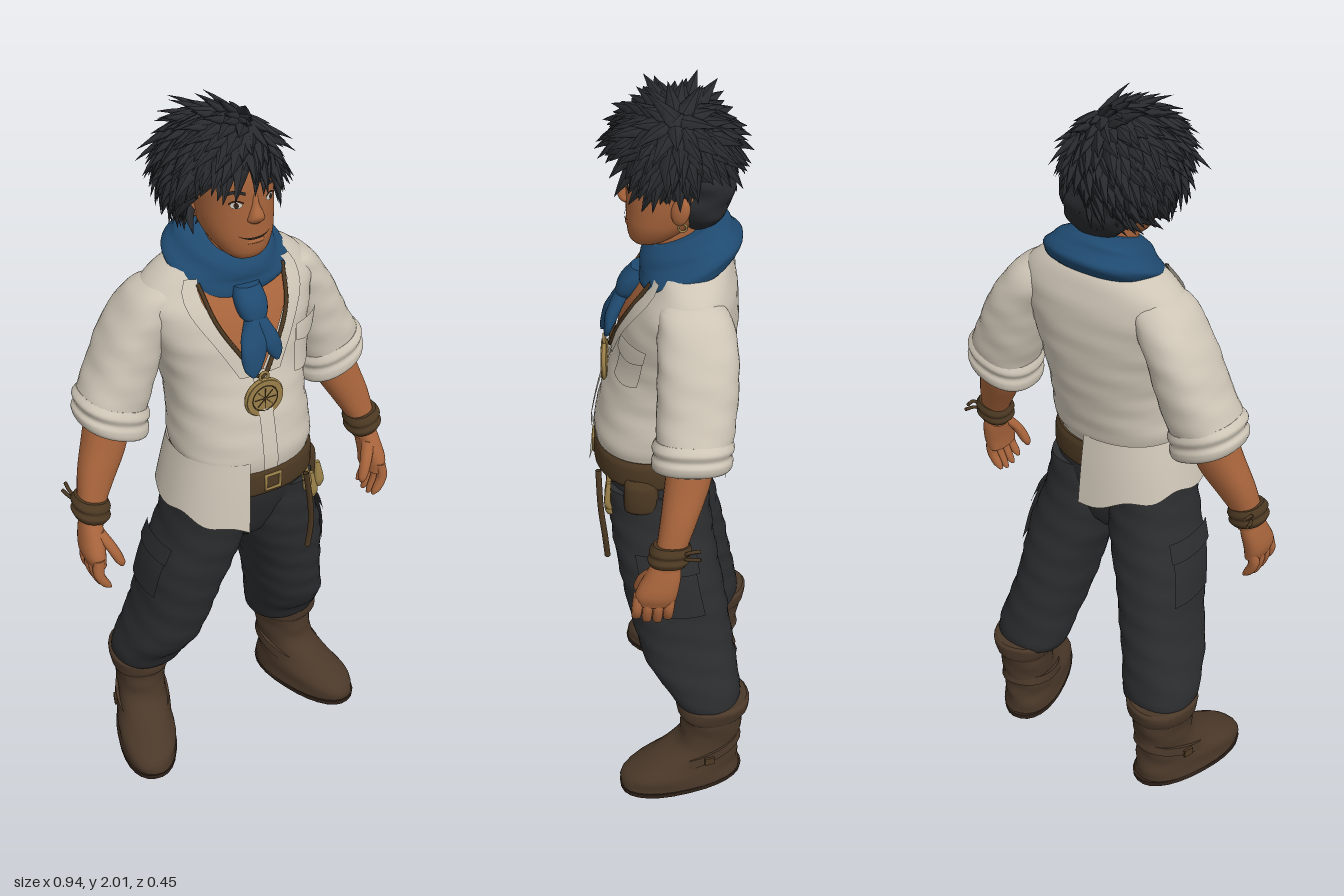
import * as THREE from 'three';
import { mergeGeometries } from 'three/addons/utils/BufferGeometryUtils.js';

const mat = (name, color) =>
  Object.assign(new THREE.MeshStandardMaterial({ color, side: THREE.DoubleSide }), { name });
const M = {
  hair: mat('hair black', 0x282a2d), skin: mat('tan skin', 0xa9653c), shirt: mat('linen', 0xcec5b6),
  pants: mat('charcoal cloth', 0x2c2d2f), boot: mat('boot leather', 0x4a3829), scarf: mat('blue cloth', 0x1f4a70),
  belt: mat('belt leather', 0x4b3822), brass: mat('brass', 0x9a8049), white: mat('eye white', 0xd9d2c6),
  dark: mat('dark brown', 0x32241b),
};

// Rings are [x, y, z, radiusX, radiusZ, tiltX, tiltZ], in rising y; values between them are splined.
const at = (R, y) => {
  let i = 0;
  while (i < R.length - 2 && y > R[i + 1][1]) i++;
  const h = R[i + 1][1] - R[i][1], u = (y - R[i][1]) / h;
  const slope = (k, c) => {
    const p = R[Math.max(k - 1, 0)], q = R[Math.min(k + 1, R.length - 1)];
    return ((q[c] ?? 0) - (p[c] ?? 0)) / (q[1] - p[1]);
  };
  return [0, 2, 3, 4, 5, 6].map(c => {
    const p = R[i][c] ?? 0, q = R[i + 1][c] ?? 0, a = u * u, b = a * u;
    return (2 * b - 3 * a + 1) * p + (b - 2 * a + u) * h * slope(i, c) + (3 * a - 2 * b) * q + (b - a) * h * slope(i + 1, c);
  });
};
// Point at height y and angle a (0 = front, +90 degrees = +x)
const point = (R, y, a, off = 0, amp = 0) => {
  const [x, z, rx, rz, kx, kz] = at(R, y), s = Math.sin(a), c = Math.cos(a);
  const w = 1 + amp * (Math.sin(3 * a + y * 75) + 0.6 * Math.sin(2 * a - y * 120));
  const dx = rx * w * Math.sign(s) * Math.abs(s) ** 0.88 + off * s;
  const dz = rz * w * Math.sign(c) * Math.abs(c) ** 0.88 + off * c;
  return [x + dx, y + kx * dx + kz * dz, z + dz];
};
const grid = (rows, closed) => {
  const n = rows[0].length, idx = [], m = closed ? n : n - 1;
  for (let i = 0; i < rows.length - 1; i++) for (let j = 0; j < m; j++) {
    const a = i * n + j, b = i * n + (j + 1) % n;
    idx.push(a, b, a + n, b, b + n, a + n);
  }
  const g = new THREE.BufferGeometry();
  g.setAttribute('position', new THREE.Float32BufferAttribute(rows.flat(2), 3));
  g.setIndex(idx);
  g.computeVertexNormals();
  return g;
};
// Capped solid through rings
const loft = (rings, amp = 0, nu = 28) => {
  const R = [...rings].sort((a, b) => a[1] - b[1]), nv = R.length * 4;
  const y0 = R[0][1], y1 = R[R.length - 1][1];
  const rows = Array.from({ length: nv + 1 }, (_, i) => Array.from({ length: nu }, (_, j) =>
    point(R, y0 + (y1 - y0) * i / nv, j / nu * Math.PI * 2, 0, amp)));
  const mid = k => Array.from({ length: nu }, () => [R[k][0], R[k][1], R[k][2]]);
  return grid([mid(0), rows[0], ...rows, rows[nv], mid(R.length - 1)], true);
};
// Thin piece lying on the surface through rings; f maps (u, v) to [angle, height]
const patch = (R, f, off, nu = 14, nv = 10) => grid(Array.from({ length: nv + 1 }, (_, i) =>
  Array.from({ length: nu + 1 }, (_, j) => { const [a, y] = f(j / nu, i / nv); return point(R, y, a, off); })), false);
const disc = (R, a, y, ra, ry, off) => patch(R, (u, v) =>
  [a + ra * v * Math.cos(u * Math.PI * 2), y - ry * v * Math.sin(u * Math.PI * 2)], off, 16, 3);
const tube = (pts, r) => new THREE.TubeGeometry(
  new THREE.CatmullRomCurve3(pts.map(p => new THREE.Vector3(...p))), 24, r, 6);

const torso = [[0, 1.0, .035, .175, .145], [0, 1.05, .04, .18, .157], [0, 1.08, .035, .19, .164], [0, 1.2, .01, .184, .163],
  [0, 1.3, -.015, .195, .155], [0, 1.4, -.03, .222, .148], [0, 1.48, -.045, .242, .13], [0, 1.53, -.055, .222, .108],
  [0, 1.57, -.055, .172, .09], [0, 1.6, -.05, .1, .065]];
const head = [[.005, 1.605, .055, .02, .018], [.005, 1.62, .05, .05, .045], [.003, 1.66, .026, .08, .078], [0, 1.7, .008, .093, .097],
  [-.003, 1.76, -.008, .1, .113], [-.012, 1.84, -.02, .101, .122], [-.022, 1.9, -.02, .08, .1], [-.025, 1.94, -.02, .02, .03]];
const sleeve = [[.325, 1.16, -.06, .078, .085, .35], [.325, 1.2, -.065, .086, .094, .35], [.285, 1.3, -.073, .083, .1, .25],
  [.247, 1.4, -.075, .08, .1, .1], [.207, 1.47, -.07, .08, .095], [.18, 1.52, -.06, .065, .075], [.16, 1.545, -.055, .025, .035]];
const leg = [[.225, .26, -.115, .075, .075], [.225, .28, -.11, .102, .092], [.222, .32, -.1, .108, .102], [.205, .4, -.065, .106, .125],
  [.18, .5, -.04, .105, .133], [.162, .6, -.02, .108, .137], [.138, .7, 0, .118, .137], [.107, .82, .02, .112, .137], [.098, .94, .03, .098, .135]];
const flip = (R, s) => R.map(([x, y, z, rx, rz, kx = 0, kz = 0]) => [s * x, y, z, rx, rz, s * kx, kz]);

export function createModel() {
  const model = new THREE.Group();
  model.name = 'adventurer';
  const add = (name, geo, m, parent = model) => {
    const mesh = new THREE.Mesh(geo, m);
    mesh.name = name;
    parent.add(mesh);
    return mesh;
  };

  // Shirt, open collar, pocket and the loose tail on one side
  add('shirt', loft(torso, .006, 48), M.shirt);
  const wide = v => .02 + .56 * v;
  add('chest', patch(torso, (u, v) => [(u * 2 - 1) * wide(v), 1.31 + .24 * v], .004), M.skin);
  for (const s of [-1, 1])
    add('lapel', patch(torso, (u, v) => [s * (wide(v) + u * .22), 1.31 + .25 * v], .011), M.shirt);
  add('placket', patch(torso, (u, v) => [(u - .5) * .16, 1.05 + .27 * v], .008), M.shirt);
  add('shirtPocket', patch(torso, (u, v) => [.5 + .55 * u, 1.28 + .11 * v - .01 * Math.sin(u * Math.PI)], .01), M.shirt);
  add('pocketFlap', patch(torso, (u, v) => [.47 + .61 * u, 1.365 + .04 * v - .015 * (1 - v) * Math.sin(u * Math.PI)], .017), M.shirt);
  const tail = [[0, .84, .035, .242, .192], [0, .9, .035, .232, .186], [0, 1.0, .035, .21, .175], [0, 1.08, .035, .19, .164]];
  add('shirtTail', patch(tail, (u, v) => {
    const a = -.25 - 2.95 * u, low = .875 + .055 * Math.sin(u * Math.PI) + .008 * Math.sin(u * 25);
    return [a, low + (1.08 - low) * v];
  }, .003, 40, 10), M.shirt);

  // Trousers, belt and things hung from it
  add('trouserSeat', loft([[0, .745, .01, .03, .07], [0, .78, .015, .09, .1], [0, .87, .025, .18, .128], [0, .95, .033, .19, .143], [0, 1.03, .037, .178, .145]], 0, 36), M.pants);
  add('belt', loft([[0, .965, .036, .188, .158], [0, .975, .037, .194, .164], [0, 1.03, .037, .192, .163], [0, 1.045, .037, .183, .157]], 0, 36), M.belt);
  const buckle = add('buckle', new THREE.TorusGeometry(.03, .006, 6, 4), M.brass);
  buckle.position.set(.01, 1.005, .2);
  buckle.rotation.z = Math.PI / 4;
  add('pouch', loft([[.165, .885, .07, .025, .035], [.178, .9, .07, .028, .045], [.178, .975, .07, .028, .045], [.17, .995, .07, .022, .04]]), M.belt);
  for (const [x, y] of [[.14, .9], [.16, .87], [.178, .9]])
    add('charm', loft([[x, y, .155, .008, .008], [x, y + .02, .16, .014, .009], [x - .005, y + .08, .155, .007, .006]], 0, 10), M.brass);
  add('beltCord', tube([[.12, .98, .185], [.14, .87, .18], [.15, .78, .17], [.145, .71, .165]], .008), M.belt);

  for (const s of [-1, 1]) {
    const side = s < 0 ? 'right' : 'left';
    // Leg with cargo pocket
    const L = flip(leg, s);
    add(side + 'TrouserLeg', loft(L, .012, 36), M.pants);
    for (const [n, w, y, h, off] of [['CargoPocket', .95, .6, .17, .009], ['CargoFlap', 1.05, .73, .055, .015]])
      add(side + n, patch(L, (u, v) => [s * 1.65 + (u - .5) * w, y + h * v], off), M.pants);

    // Boot, turned outwards
    const boot = new THREE.Group();
    boot.name = side + 'Boot';
    boot.position.set(s * .245, 0, -.122);
    boot.rotation.y = s * .32;
    model.add(boot);
    add('sole', loft([[0, 0, .09, .084, .179], [0, .016, .09, .086, .181]]), M.dark, boot);
    add('bootUpper', loft([[0, .012, .09, .084, .177], [0, .055, .088, .083, .168], [0, .095, .052, .076, .128], [0, .14, .012, .07, .092],
      [0, .2, -.002, .073, .087], [0, .27, -.004, .08, .094]], .016), M.boot, boot);
    add('bootCuff', loft([[0, .235, -.003, .079, .092], [0, .25, -.003, .085, .1], [0, .285, -.005, .089, .103], [0, .292, -.005, .081, .095]], .01), M.boot, boot);
    add('bootStrap', loft([[0, .1, .035, .081, .122, 0, -.3], [0, .13, .027, .078, .108, 0, -.3]]), M.boot, boot);
    const clip = add('bootBuckle', new THREE.BoxGeometry(.01, .024, .028), M.belt, boot);
    clip.position.set(s * .08, .11, .03);

    // Sleeve, rolled cuff and forearm
    add(side + 'Sleeve', loft(flip(sleeve, s), .01, 32), M.shirt);
    add(side + 'RolledCuff', loft(flip([[.325, 1.135, -.06, .074, .08, .35], [.327, 1.145, -.06, .09, .097, .35], [.327, 1.17, -.062, .096, .102, .35],
      [.324, 1.185, -.063, .09, .097, .35], [.322, 1.205, -.064, .096, .103, .35], [.318, 1.225, -.066, .085, .095, .35]], s)), M.shirt);
    add(side + 'Forearm', loft(flip([[.425, .9, 0, .031, .036, .3], [.418, .95, -.01, .034, .038, .35], [.393, 1.02, -.028, .045, .046, .4],
      [.357, 1.1, -.048, .054, .056, .4], [.335, 1.17, -.06, .055, .06, .4]], s)), M.skin);
    add(side + 'Bracelet', loft(flip([[.424, .915, -.003, .042, .046, .25], [.422, .93, -.005, .05, .054, .25], [.42, .942, -.007, .045, .05, .25],
      [.419, .955, -.009, .05, .054, .25], [.416, .972, -.012, .042, .046, .25]], s)), M.belt);
    for (const d of [0, .02])
      add(side + 'BraceletTie', tube([[s * .44, .945, -.035], [s * .457, .955 + d, -.055], [s * (.465 - d * .5), .96 + d, -.085]], .005), M.belt);

    // Hand with curled fingers and thumb
    add(side + 'Palm', loft(flip([[.434, .795, .03, .024, .05], [.438, .83, .026, .03, .054], [.432, .88, .01, .03, .046], [.425, .92, 0, .028, .034]], s)), M.skin);
    for (let i = 0; i < 4; i++) {
      const z = -.01 + i * .027, y = .74 - .012 * Math.sin(i * 1.1);
      add(side + 'Finger', loft(flip([[.416, y - .012, z + .008, .005, .006], [.426, y, z + .008, .013, .012], [.444, .78, z + .005, .015, .014], [.439, .825, z, .015, .014]], s), 0, 12), M.skin);
    }
    add(side + 'Thumb', loft(flip([[.376, .785, .076, .005, .005], [.38, .8, .074, .013, .013], [.398, .845, .06, .016, .016], [.422, .89, .03, .017, .02]], s), 0, 12), M.skin);

    // Ear, eye and brow
    const ear = add(side + 'Ear', new THREE.SphereGeometry(1, 14, 10), M.skin);
    ear.scale.set(.014, .037, .024);
    ear.position.set(s * .101, 1.735, -.03);
    ear.rotation.set(-.2, s * -.35, 0);
    const a = .06 + s * .43;
    add(side + 'Eye', disc(head, a, 1.772, .15, .009, .003), M.white);
    add(side + 'Iris', disc(head, a, 1.773, .06, .008, .005), M.dark);
    add(side + 'EyelidLine', patch(head, (u, v) => [a + (u - .5) * .36, 1.775 + .008 * Math.sin(u * Math.PI) + .004 * v], .005), M.dark);
    add(side + 'Eyebrow', patch(head, (u, v) => [a + (u - .5) * .46, 1.797 + .008 * Math.sin(u * Math.PI) + .009 * v], .006), M.hair);
  }
  const earring = add('earring', new THREE.TorusGeometry(.01, .003, 6, 14), M.brass);
  earring.position.set(.104, 1.693, -.035);
  earring.rotation.y = Math.PI / 2;

  // Head, nose, smile and neck
  add('head', loft(head, 0, 36), M.skin);
  add('neck', loft([[0, 1.48, -.03, .075, .075], [0, 1.56, -.02, .06, .065], [0, 1.68, -.015, .06, .065]]), M.skin);
  add('nose', loft([[.006, 1.715, .1, .012, .01], [.006, 1.725, .103, .023, .017], [.006, 1.738, .105, .02, .02], [.005, 1.765, .098, .011, .015], [.004, 1.795, .095, .008, .01]], 0, 16), M.skin);
  add('mouth', patch(head, (u, v) => [.05 + (u - .5) * .95, 1.673 + .016 * (2 * u - 1) ** 2 + .006 * v * Math.sin(u * Math.PI)], .003), M.dark);
  add('lowerLip', loft([[.006, 1.656, .092, .022, .008], [.006, 1.664, .096, .03, .011], [.006, 1.672, .096, .026, .008]], 0, 16), M.skin);

  // Neckerchief with knot and two ends
  const k = -.4;
  add('neckerchief', loft([[.004, 1.525, -.045, .1, .09, 0, k], [.004, 1.55, -.05, .148, .12, 0, k], [.004, 1.575, -.052, .16, .13, 0, k],
    [.004, 1.593, -.05, .15, .122, 0, k], [.004, 1.605, -.046, .135, .116, 0, k], [.004, 1.628, -.04, .112, .105, 0, k], [.004, 1.64, -.03, .075, .082, 0, k]], .022, 40), M.scarf);
  add('scarfKnot', loft([[0, 1.445, .112, .02, .02], [0, 1.465, .105, .036, .03], [0, 1.5, .088, .042, .036], [0, 1.535, .065, .035, .03]]), M.scarf);
  add('scarfEndLong', loft([[-.035, 1.325, .172, .006, .006], [-.033, 1.345, .167, .024, .011], [-.022, 1.4, .148, .036, .018], [-.005, 1.47, .112, .018, .018]], .03), M.scarf);
  add('scarfEndShort', loft([[.04, 1.35, .158, .006, .006], [.036, 1.37, .154, .02, .011], [.024, 1.41, .142, .027, .018], [.005, 1.47, .112, .018, .018]], .03), M.scarf);

  // Medallion on a chain
  const chain = [[1.55, -.55], [1.46, -.36], [1.37, -.18], [1.3, 0], [1.37, .18], [1.46, .36], [1.55, .55]];
  add('chain', tube(chain.map(([y, a]) => point(torso, y, a, .012)), .006), M.belt);
  const medal = new THREE.Group();
  medal.name = 'medallion';
  medal.position.set(-.002, 1.252, .167);
  model.add(medal);
  add('medalDisc', new THREE.CylinderGeometry(.052, .052, .016, 32).rotateX(Math.PI / 2), M.brass, medal);
  add('medalRim', new THREE.TorusGeometry(.05, .006, 8, 32), M.brass, medal);
  add('medalInnerRing', new THREE.TorusGeometry(.036, .0015, 6, 28).translate(0, 0, .008), M.belt, medal);
  for (let i = 0; i < 4; i++)
    add('medalRay', new THREE.BoxGeometry(.0025, .06, .003).rotateZ(i * Math.PI / 4).translate(0, 0, .008), M.belt, medal);
  add('medalLoop', new THREE.TorusGeometry(.012, .004, 6, 14).translate(0, .062, 0), M.brass, medal);

  // Hair: tilted cap covered in swept spikes
  const tilt = -.85, open = 2.1, size = new THREE.Vector3(.137, .126, .146), mid = new THREE.Vector3(-.035, 1.836, -.012);
  add('hairCap', new THREE.SphereGeometry(1, 32, 20, 0, Math.PI * 2, 0, open).rotateX(tilt)
    .scale(size.x, size.y, size.z).translate(mid.x, mid.y, mid.z), M.hair);
  add('napeHair', loft([[0, 1.66, -.075, .05, .04], [0, 1.7, -.075, .085, .07], [-.015, 1.78, -.08, .11, .085], [-.02, 1.84, -.06, .11, .08]], .03), M.hair);
  let seed = 7;
  const rnd = () => (seed = (seed * 16807) % 2147483647) / 2147483647;
  const spikes = [], whorl = new THREE.Vector3(.04, 1.97, -.02), count = 320;
  for (let i = 0; i < count; i++) {
    const c = 1 - (i + .5) / count * (1 - Math.cos(open)), t = i * 2.39996, r = Math.sqrt(1 - c * c);
    const n = new THREE.Vector3(r * Math.cos(t), c, r * Math.sin(t)).applyAxisAngle(new THREE.Vector3(1, 0, 0), tilt);
    const base = n.clone().multiply(size).multiplyScalar(.95).add(mid);
    const sweep = base.clone().sub(whorl).add(new THREE.Vector3(-.03, -.02, 0));
    sweep.addScaledVector(n, -sweep.dot(n)).normalize();
    const dir = sweep.addScaledVector(n, .38 + rnd() * .3)
      .add(new THREE.Vector3(rnd() - .5, rnd() - .5, rnd() - .5).multiplyScalar(.45)).normalize();
    const across = new THREE.Vector3().crossVectors(dir, n).normalize();
    const up = new THREE.Vector3().crossVectors(across, dir), len = .06 + rnd() * .04;
    const g = new THREE.ConeGeometry(.026, len, 5, 3).translate(0, len / 2, 0).scale(1, 1, .55);
    const p = g.attributes.position;
    for (let v = 0; v < p.count; v++) p.setZ(v, p.getZ(v) - 1.8 * p.getY(v) ** 2);
    g.applyMatrix4(new THREE.Matrix4().makeBasis(across, dir, up).setPosition(base));
    g.computeVertexNormals();
    spikes.push(g);
  }
  add('hairSpikes', mergeGeometries(spikes), M.hair);
  return model;
}
